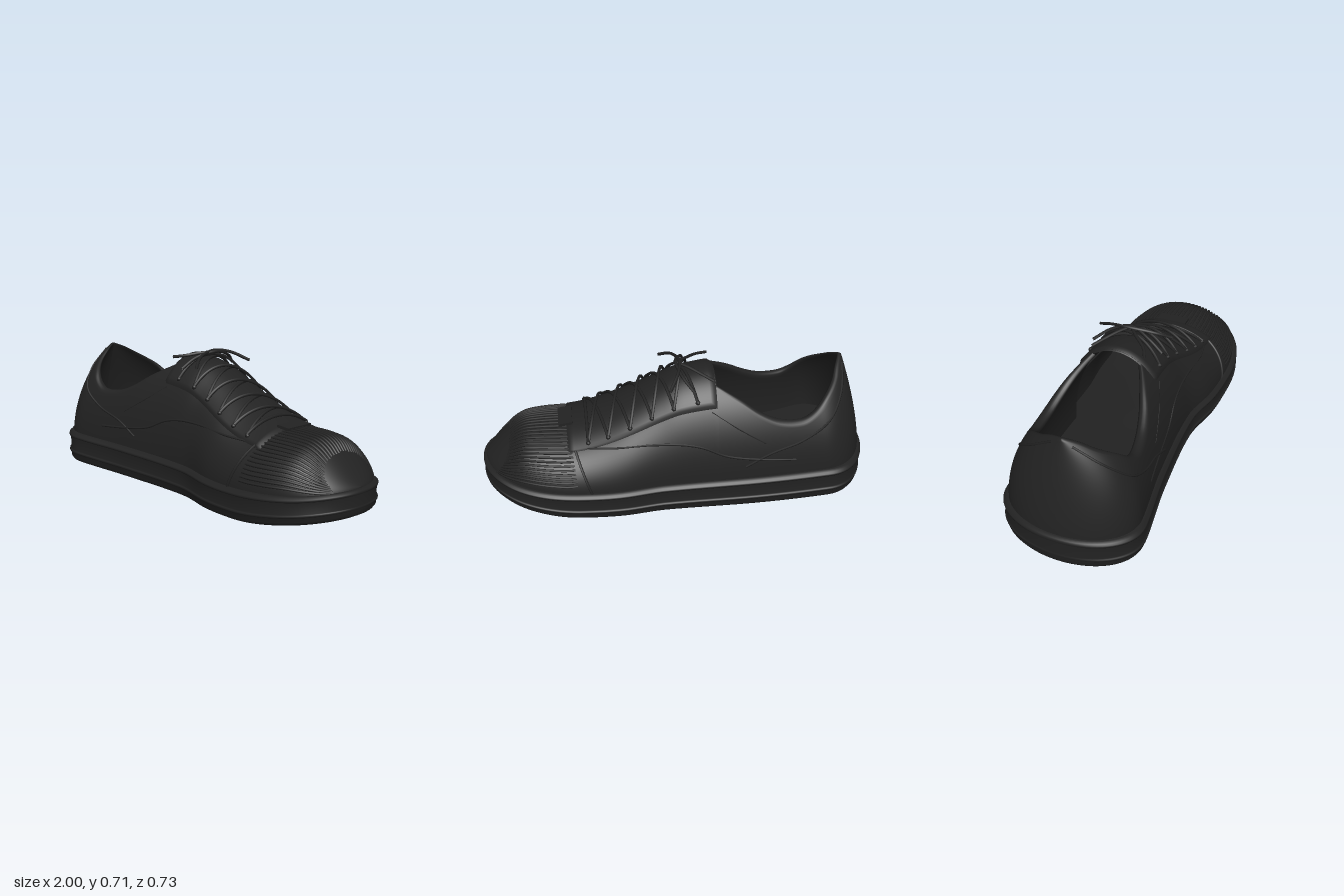
import * as THREE from 'three';
import { mergeVertices } from 'three/addons/utils/BufferGeometryUtils.js';

// Smooth interpolation through a short table of [x, value] pairs
function table(p) {
  const slope = i => {
    const a = p[Math.max(i - 1, 0)], b = p[Math.min(i + 1, p.length - 1)];
    return (b[1] - a[1]) / (b[0] - a[0]);
  };
  return x => {
    x = Math.min(Math.max(x, p[0][0]), p[p.length - 1][0]);
    let i = 0;
    while (i < p.length - 2 && x > p[i + 1][0]) i++;
    const d = p[i + 1][0] - p[i][0], t = (x - p[i][0]) / d, t2 = t * t, t3 = t2 * t;
    return (2 * t3 - 3 * t2 + 1) * p[i][1] + (t3 - 2 * t2 + t) * d * slope(i)
      + (3 * t2 - 2 * t3) * p[i + 1][1] + (t3 - t2) * d * slope(i + 1);
  };
}

// Footprint and height curves along the length of the shoe
const centreZ = table([[-1, 0], [-0.75, -0.01], [-0.4, -0.03], [0.05, -0.03], [0.3, -0.012], [0.5, 0], [0.8, 0.015], [1, 0.03]]);
const sideW = table([[-1, 0.35], [-0.75, 0.35], [-0.4, 0.33], [0.08, 0.315], [0.3, 0.347], [0.5, 0.354], [1, 0.354]]);
const soleTop = table([[-1, 0.2], [-0.6, 0.182], [-0.2, 0.17], [0.2, 0.16], [0.45, 0.157], [0.8, 0.18], [1, 0.208]]);
const soleBottom = table([[-1, 0.025], [-0.5, 0.006], [0, 0], [0.5, 0.004], [0.75, 0.035], [1, 0.08]]);
const crown = table([[-1, 0.668], [-0.9, 0.66], [-0.8, 0.66], [-0.5, 0.69], [-0.18, 0.67], [0, 0.64], [0.1, 0.595],
  [0.25, 0.515], [0.4, 0.445], [0.55, 0.403], [0.7, 0.398], [0.8, 0.382], [0.9, 0.305], [1, 0.21]]);
const collar = table([[-1, 0.662], [-0.95, 0.63], [-0.9, 0.59], [-0.8, 0.53], [-0.7, 0.47], [-0.62, 0.443],
  [-0.5, 0.45], [-0.4, 0.49], [-0.3, 0.55], [-0.18, 0.61]]);
const heelLean = table([[-1, 0.12], [-0.8, 0.07], [-0.5, 0], [1, 0]]);
const padding = table([[-1, 0.02], [-0.85, 0.035], [-0.6, 0.06], [0, 0.06]]);
const THROAT = -0.18;

function halfWidth(x) {
  let f = 1;
  if (x < -0.75) f = 1 - Math.pow((-0.75 - x) / 0.25, 2.2);
  if (x > 0.5) f = 1 - Math.pow((x - 0.5) / 0.5, 2.4);
  return sideW(x) * Math.sqrt(Math.max(f, 0));
}

// Point on the upper: a runs from 0 (left base) over the crown to PI (right base)
function upperPoint(x, a, off = 0) {
  const b = soleTop(x) - 0.02, s = Math.sin(a);
  const w = Math.max(halfWidth(x) * 0.95 + off, 0);
  return new THREE.Vector3(
    x * 0.985 + heelLean(x) * Math.pow(Math.max(s, 0), 1.4),
    b + (crown(x) - b + off) * s,
    centreZ(x) + w * Math.cos(a));
}
const angleAt = (x, y) => {
  const b = soleTop(x) - 0.02;
  return Math.asin(Math.min(Math.max((y - b) / (crown(x) - b), 0), 1));
};

function grid(nu, nv, fn) {
  const pos = [], idx = [];
  for (let i = 0; i <= nu; i++) for (let j = 0; j <= nv; j++) pos.push(...fn(i / nu, j / nv).toArray());
  for (let i = 0; i < nu; i++) for (let j = 0; j < nv; j++) {
    const a = i * (nv + 1) + j, b = a + nv + 1;
    idx.push(a, b, a + 1, b, b + 1, a + 1);
  }
  let g = new THREE.BufferGeometry();
  g.setAttribute('position', new THREE.Float32BufferAttribute(pos, 3));
  g.setIndex(idx);
  g = mergeVertices(g, 1e-5);
  g.computeVertexNormals();
  return g;
}

export function createModel() {
  const group = new THREE.Group();
  const black = new THREE.MeshStandardMaterial({ color: 0x222222, side: THREE.DoubleSide });
  black.name = 'black';
  const add = (name, geo) => {
    const m = new THREE.Mesh(geo, black);
    m.name = name;
    group.add(m);
    return m;
  };
  const tube = (name, pts, r, seg = 32) =>
    add(name, new THREE.TubeGeometry(new THREE.CatmullRomCurve3(pts), seg, r, 6));

  // Sole: rows of [height fraction, outward offset, scale], from underside to insole
  const rows = [[0, -0.03, 0], [0, -0.03, 0.3], [0, -0.03, 0.6], [0, -0.03, 0.85], [0, -0.03, 1], [0.05, -0.012, 1],
    [0.14, -0.003, 1], [0.28, -0.002, 1], [0.3, 0.006, 1], [0.34, 0.008, 1], [0.38, 0.006, 1], [0.4, -0.002, 1],
    [0.8, -0.002, 1], [0.82, 0.006, 1], [0.86, 0.008, 1], [0.9, 0.006, 1], [0.93, -0.004, 1], [1, -0.012, 1],
    [1, -0.07, 1], [1, -0.07, 0.6], [1, -0.07, 0]];
  const outline = u => {
    const x = -Math.cos(u * Math.PI * 2), side = u <= 0.5 ? 1 : -1;
    return new THREE.Vector2(x, centreZ(x) + side * halfWidth(x));
  };
  add('sole', grid(180, rows.length - 1, (u, v) => {
    const [f, o, k] = rows[Math.round(v * (rows.length - 1))];
    const p = outline(u), t = outline((u + 0.004) % 1).sub(outline((u + 0.996) % 1)).normalize();
    const off = o > 0 ? o * Math.abs(t.x) : o; // the foxing ridges flatten at heel and toe
    const x = (p.x - t.y * off) * k, z = (p.y + t.x * off) * k;
    const lo = soleBottom(x), hi = soleTop(x);
    return new THREE.Vector3(x, lo + (hi - lo) * f + (f === 0 ? 0.018 * (1 - k * k) : 0), z);
  }));

  // Heel quarters: outer wall, padded collar and inner lining in one sheet
  for (const side of [1, -1]) {
    add(side > 0 ? 'leftQuarter' : 'rightQuarter', grid(60, 36, (u, v) => {
      const x = -1 + (THROAT + 1) * (1 - Math.cos(u * Math.PI / 2));
      const top = angleAt(x, collar(x)), pad = padding(x);
      let a, depth = 0, lift = 0;
      if (v <= 0.5) a = top * v * 2;
      else if (v <= 2 / 3) {
        const r = (v - 0.5) * 6;
        a = top;
        depth = pad * r;
        lift = pad * 0.2 * Math.sin(r * Math.PI);
      } else {
        a = top * (1 - v) * 3;
        depth = pad;
      }
      const p = upperPoint(x, side > 0 ? a : Math.PI - a, -depth);
      p.y += lift + depth * Math.sin(a);
      p.x += depth * THREE.MathUtils.smoothstep(-x, 0.6, 1);
      return p;
    }));
  }

  // Vamp and toe box
  add('vamp', grid(70, 48, (u, v) =>
    upperPoint(THROAT + (1 - THROAT) * Math.sin(u * Math.PI / 2), v * Math.PI)));

  // Raised lacing panel with a turned-down rim
  add('lacingPanel', grid(40, 32, (u, v) => {
    const rim = u === 0 || u === 1 || v === 0 || v === 1;
    return upperPoint(-0.185 + 0.765 * u, 0.82 + v * (Math.PI - 1.64), rim ? -0.005 : 0.01);
  }));
  const tab = add('tongueTab', new THREE.BoxGeometry(0.07, 0.014, 0.16));
  tab.position.set(0.565, 0.409, 0);
  tab.rotation.z = -0.1;

  // Toe cap ribs fanning back from a smooth half-round tip
  const ribs = 37;
  for (let i = 0; i < ribs; i++) {
    const a = 0.22 + (Math.PI - 0.44) * i / (ribs - 1), pts = [];
    const start = 0.585 - 0.05 * Math.abs(Math.cos(a));
    const outsideTip = x => {
      const p = upperPoint(x, a);
      return Math.hypot((p.z - 0.01) / 0.17, (p.y - 0.235) / 0.105) > 1;
    };
    let end = 0.75;
    while (end < 0.97 && outsideTip(end)) end += 0.005;
    for (let j = 0; j <= 10; j++) {
      pts.push(upperPoint(start + (end - start) * j / 10, a, j === 0 || j === 10 ? -0.004 : 0.002));
    }
    tube('toeRib', pts, 0.006, 18);
  }

  // Seams mirrored on both sides, as [x, y] paths laid on the upper
  const seams = {
    sideSeam: [[-0.58, 0.26], [-0.4, 0.275], [-0.22, 0.305], [-0.1, 0.355], [0, 0.375], [0.15, 0.378], [0.35, 0.36], [0.53, 0.35]],
    heelSeam: [[-0.98, 0.635], [-0.9, 0.54], [-0.78, 0.44], [-0.62, 0.36], [-0.45, 0.305], [-0.32, 0.24]],
    quarterCrease: [[-0.42, 0.36], [-0.28, 0.44], [-0.15, 0.52]],
  };
  for (const side of [1, -1]) {
    for (const [name, path] of Object.entries(seams)) {
      tube(name, path.map(([x, y]) => {
        const a = angleAt(x, y);
        return upperPoint(x, side > 0 ? a : Math.PI - a, -0.001);
      }), name === 'quarterCrease' ? 0.003 : 0.006, 48);
    }
  }
  const capEdge = [];
  for (let i = 0; i <= 24; i++) {
    const a = Math.PI * i / 24;
    capEdge.push(upperPoint(0.46 + 0.1 * Math.sin(a), a, 0.002));
  }
  tube('toeCapSeam', capEdge, 0.007, 60);

  // Criss-cross laces with eyelets
  const holes = [-0.08, 0.04, 0.15, 0.26, 0.37, 0.47];
  const edge = 0.93;
  holes.forEach((x, i) => {
    for (const side of [1, -1]) {
      const eye = add('eyelet', new THREE.SphereGeometry(0.012, 8, 6));
      eye.position.copy(upperPoint(x, side > 0 ? edge : Math.PI - edge, 0.011));
      if (i === holes.length - 1) continue;
      const pts = [];
      for (let j = 0; j <= 10; j++) {
        const t = j / 10, a = edge + (Math.PI - 2 * edge) * t;
        pts.push(upperPoint(x + (holes[i + 1] - x) * t, side > 0 ? a : Math.PI - a,
          0.013 + (side > 0 ? 0.026 : 0.012) * Math.sin(t * Math.PI)));
      }
      tube('lace', pts, 0.008);
    }
  });
  const bar = [];
  for (let j = 0; j <= 10; j++) bar.push(upperPoint(0.47, edge + (Math.PI - 2 * edge) * j / 10, 0.018));
  tube('laceBar', bar, 0.008);

  // Loose bow strands and lace ends over the throat
  const V = (x, y, z) => new THREE.Vector3(x, y, z);
  tube('bowStrand', [V(0.06, 0.64, 0.165), V(0.01, 0.682, 0.09), V(-0.02, 0.703, -0.03), V(0, 0.687, -0.13), V(0.05, 0.64, -0.22)], 0.008);
  tube('bowStrand', [V(-0.06, 0.62, 0.155), V(-0.04, 0.67, 0.08), V(0, 0.699, -0.03), V(-0.02, 0.67, -0.13), V(-0.07, 0.62, -0.21)], 0.008);
  tube('laceEnd', [V(0, 0.697, -0.03), V(-0.06, 0.69, 0.02), V(-0.12, 0.675, 0.08), V(-0.18, 0.665, 0.11)], 0.008);
  tube('laceEnd', [V(0, 0.697, -0.03), V(-0.06, 0.69, -0.08), V(-0.12, 0.672, -0.13), V(-0.17, 0.655, -0.17)], 0.008);
  return group;
}
